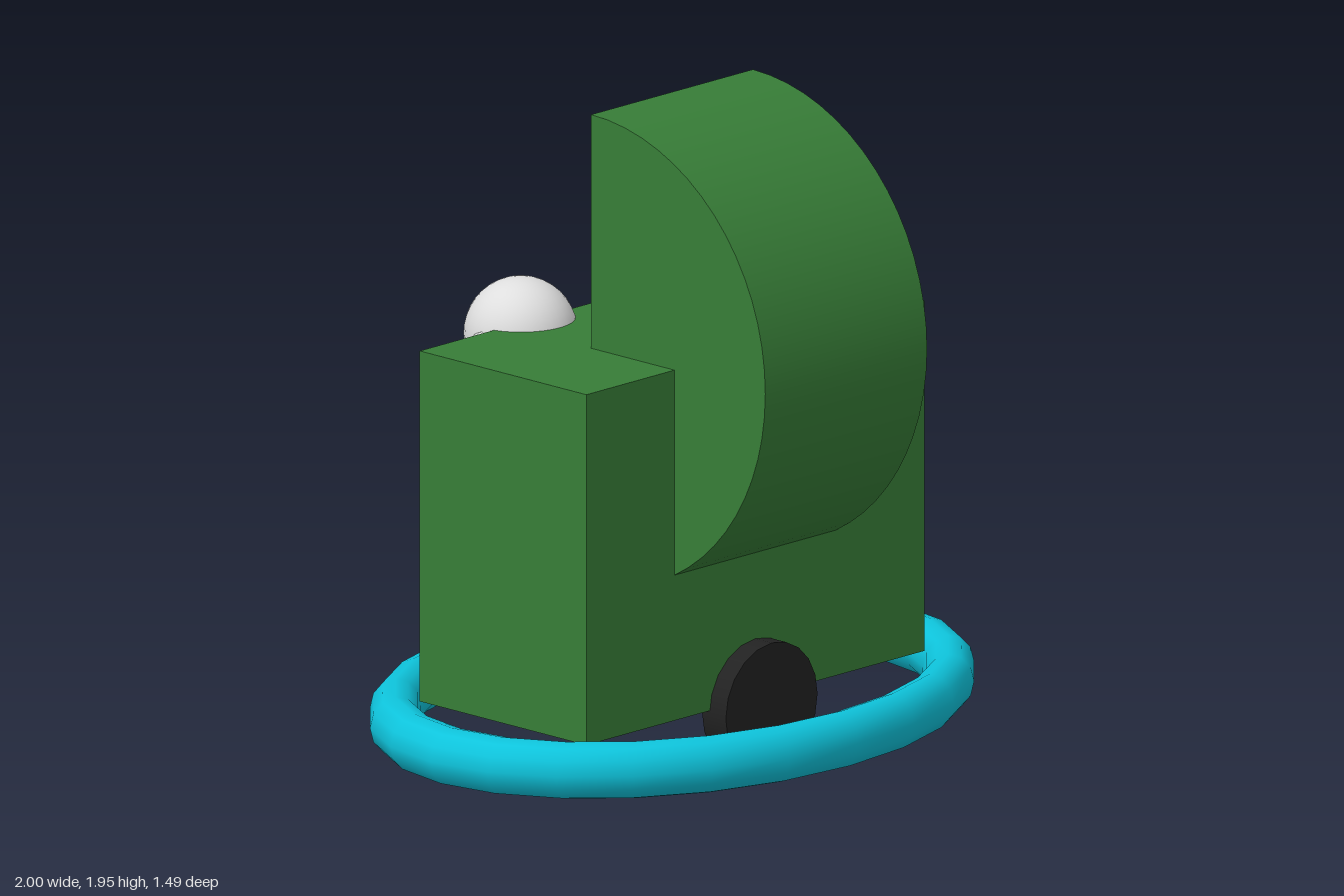
import * as THREE from 'three';

function material(name, color, side = THREE.FrontSide) {
  const m = new THREE.MeshStandardMaterial({ color, side });
  m.name = name;
  return m;
}

export function createModel() {
  const model = new THREE.Group();
  model.name = 'model';
  const green = material('green', 0x377d37, THREE.DoubleSide);
  const cyan = material('cyan', 0x0ec4dc);
  const black = material('black', 0x222222);
  const white = material('paleGrey', 0xdedede);

  function add(name, geometry, mat, x, y, z, parent = model) {
    const mesh = new THREE.Mesh(geometry, mat);
    mesh.name = name;
    mesh.position.set(x, y, z);
    parent.add(mesh);
    return mesh;
  }

  // Main box
  add('body', new THREE.BoxGeometry(1.4, 1.05, 0.67), green, 0, 0.73, 0);

  // Half drum with end caps, open towards the back
  const drum = new THREE.CylinderGeometry(0.7, 0.7, 0.67, 32, 1, false, -Math.PI / 2, Math.PI);
  drum.rotateZ(Math.PI / 2);
  add('halfDrum', drum, green, 0, 1.255, 0);

  // Oval ring around the base
  const ring = new THREE.TorusGeometry(0.915, 0.085, 12, 24);
  ring.rotateX(Math.PI / 2);
  add('ring', ring, cyan, 0, 0.15, 0).scale.z = 0.747;

  // Front wheel
  const wheel = new THREE.CylinderGeometry(0.19, 0.19, 0.095, 20);
  wheel.rotateX(Math.PI / 2);
  add('wheel', wheel, black, 0, 0.193, 0.353);

  // A bird on the front and another on the back, turned half round
  for (const [name, angle] of [['frontBird', 0], ['backBird', Math.PI]]) {
    const bird = new THREE.Group();
    bird.name = name;
    bird.rotation.y = angle;
    model.add(bird);
    add('birdBody', new THREE.SphereGeometry(1, 32, 20), white, 0, 1.015, 0.375, bird)
      .scale.set(0.285, 0.19, 0.07);
    add('birdHead', new THREE.SphereGeometry(0.165, 32, 20), white, 0.24, 1.21, 0.375, bird);
    const beak = new THREE.ConeGeometry(0.05, 0.18, 8);
    beak.rotateZ(-Math.PI / 2);
    add('beak', beak, white, 0.435, 1.21, 0.375, bird);
  }

  return model;
}
